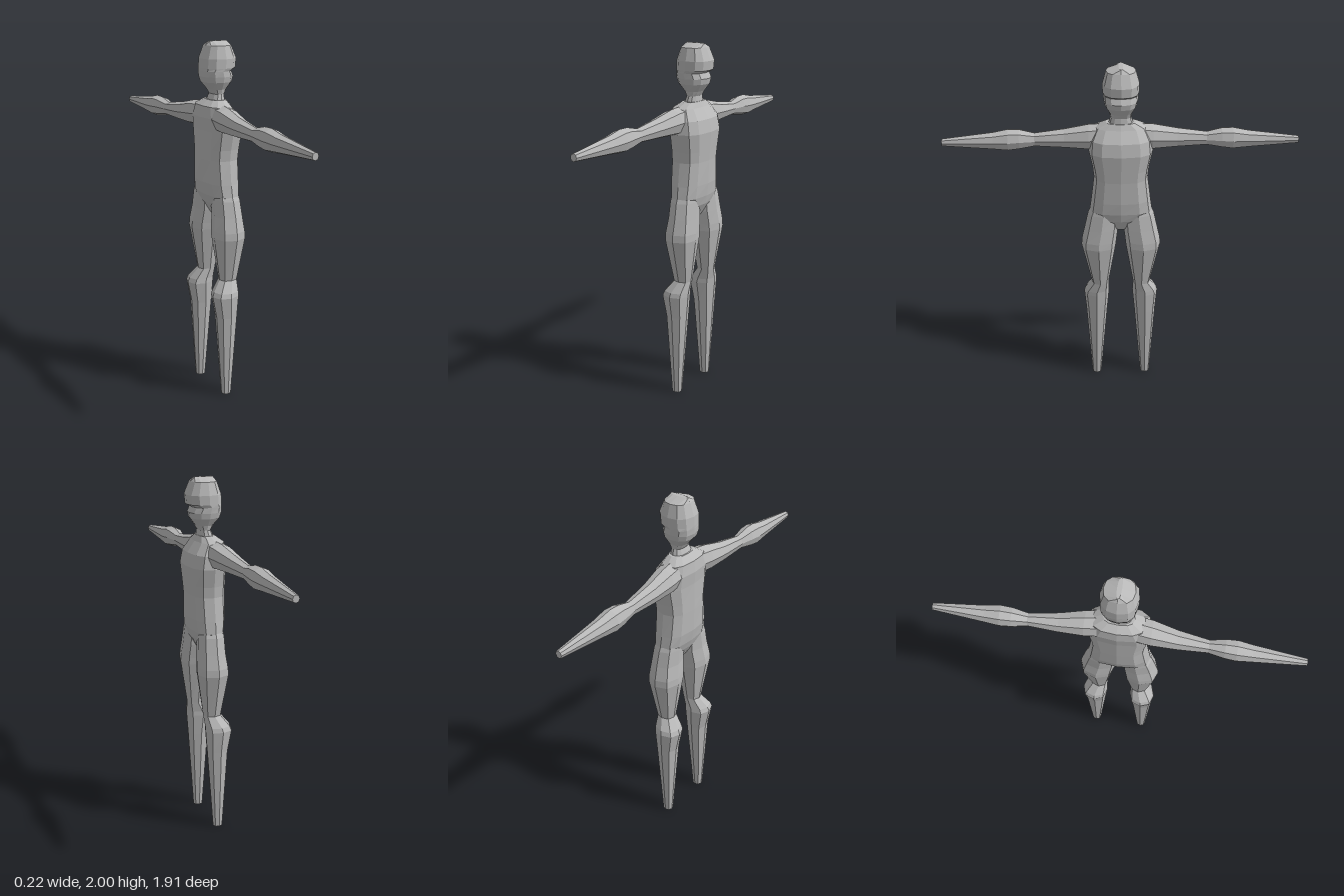
import * as THREE from 'three';

const skin = new THREE.MeshStandardMaterial({ color: 0xb9b9b9, flatShading: true });
skin.name = 'plain grey';

// Loft along y. Each ring is [y, xMin, xMax, zCentre, zHalf]; power < 1 makes the section boxier.
function loft(rings, sides, power) {
  const pos = [], idx = [];
  const round = v => Math.sign(v) * Math.pow(Math.abs(v), power);
  for (const [y, x0, x1, zc, zh] of rings) {
    for (let i = 0; i < sides; i++) {
      const a = (i / sides) * Math.PI * 2;
      pos.push((x0 + x1) / 2 + ((x1 - x0) / 2) * round(Math.cos(a)), y, zc + zh * round(Math.sin(a)));
    }
  }
  for (let r = 0; r < rings.length - 1; r++) {
    for (let i = 0; i < sides; i++) {
      const j = (i + 1) % sides, a = r * sides, b = a + sides;
      idx.push(a + i, b + i, a + j, a + j, b + i, b + j);
    }
  }
  // end caps
  const top = (rings.length - 1) * sides;
  for (let i = 1; i < sides - 1; i++) {
    idx.push(0, i, i + 1, top, top + i + 1, top + i);
  }
  const g = new THREE.BufferGeometry();
  g.setAttribute('position', new THREE.Float32BufferAttribute(pos, 3));
  g.setIndex(idx);
  const flat = g.toNonIndexed();
  flat.computeVertexNormals();
  return flat;
}

function addPart(group, name, geometry) {
  const mesh = new THREE.Mesh(geometry, skin);
  mesh.name = name;
  group.add(mesh);
}

export function createModel() {
  const figure = new THREE.Group();
  figure.name = 'figure';

  // Head with brow ledge, and neck
  addPart(figure, 'head', loft([
    [1.66, -0.06, 0.035, 0, 0.075],
    [1.72, -0.035, 0.03, 0, 0.055],
    [1.745, -0.05, 0.045, 0, 0.06],
    [1.785, -0.085, 0.075, 0, 0.083],
    [1.815, -0.095, 0.082, 0, 0.09],
    [1.845, -0.096, 0.068, 0, 0.092],
    [1.86, -0.096, 0.095, 0, 0.095],
    [1.91, -0.093, 0.1, 0, 0.096],
    [1.978, -0.068, 0.072, 0, 0.077],
    [2.0, -0.055, 0.058, 0, 0.012],
  ], 12, 0.85));

  // Torso, narrowing to the crotch
  addPart(figure, 'torso', loft([
    [1.05, -0.03, 0.03, 0, 0.03],
    [1.12, -0.068, 0.068, 0, 0.11],
    [1.17, -0.085, 0.08, 0, 0.172],
    [1.24, -0.097, 0.088, 0, 0.162],
    [1.37, -0.1, 0.092, 0, 0.146],
    [1.43, -0.1, 0.097, 0, 0.152],
    [1.53, -0.1, 0.105, 0, 0.172],
    [1.6, -0.105, 0.092, 0, 0.165],
    [1.66, -0.095, 0.05, 0, 0.135],
    [1.69, -0.055, 0.035, 0, 0.08],
  ], 12, 0.75));

  // Arm rings: [distance from centre, xMin, xMax, yMin, yMax]
  const arm = [
    [0.06, -0.09, 0.045, 1.53, 1.675],
    [0.17, -0.1, 0.035, 1.525, 1.665],
    [0.3, -0.095, 0.008, 1.53, 1.635],
    [0.46, -0.083, -0.015, 1.535, 1.61],
    [0.54, -0.1, 0, 1.52, 1.63],
    [0.6, -0.104, 0.004, 1.512, 1.632],
    [0.68, -0.095, -0.005, 1.52, 1.615],
    [0.955, -0.068, -0.03, 1.54, 1.58],
  ];

  // Leg rings: [y, xMin, xMax, inner z, outer z]
  const leg = [
    [0, -0.055, 0, 0.12, 0.175],
    [0.48, -0.085, 0.035, 0.08, 0.203],
    [0.605, -0.11, 0.045, 0.068, 0.214],
    [0.63, -0.1, 0.046, 0.07, 0.207],
    [0.69, -0.052, 0.05, 0.07, 0.167],
    [0.94, -0.09, 0.086, 0.028, 0.222],
    [0.98, -0.088, 0.085, 0.024, 0.22],
    [1.06, -0.077, 0.077, 0.014, 0.202],
    [1.15, -0.075, 0.07, 0.012, 0.182],
    [1.22, -0.07, 0.06, 0.02, 0.15],
  ];

  // Limbs, mirrored across z
  for (const s of [1, -1]) {
    const label = s > 0 ? 'A' : 'B';
    const armGeometry = loft(arm.map(([d, x0, x1, y0, y1]) =>
      [d, x0, x1, -s * (y0 + y1) / 2, (y1 - y0) / 2]), 8, 0.9);
    armGeometry.rotateX(s * Math.PI / 2);
    addPart(figure, 'arm' + label, armGeometry);
    addPart(figure, 'leg' + label, loft(leg.map(([y, x0, x1, zi, zo]) =>
      [y, x0, x1, s * (zi + zo) / 2, (zo - zi) / 2]), 8, 0.85));
  }
  return figure;
}
